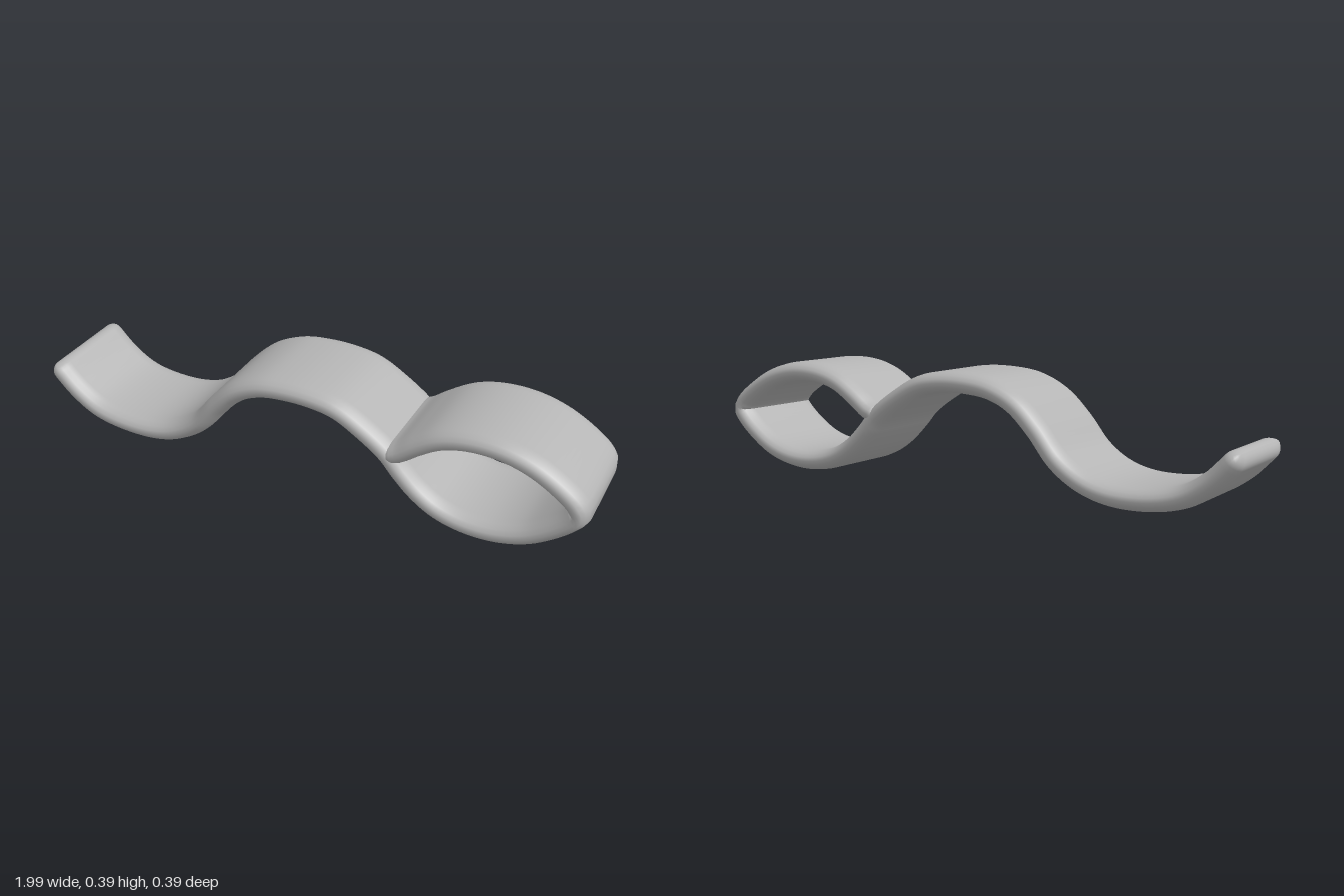
import * as THREE from 'three';

const HALF_THICK = 0.036, HALF_WIDTH = 0.195, EDGE = 0.06, CAP = 0.036;

// Cross-section of the band: flat faces with elliptical rounded edges, as [n, z]
function bandSection() {
  const pts = [];
  const steps = 8;
  for (const side of [1, -1]) {
    for (let i = 0; i <= steps; i++) {
      const a = (i / steps) * Math.PI;
      pts.push([
        side * HALF_THICK * Math.cos(a),
        side * (HALF_WIDTH - EDGE + EDGE * Math.sin(a)),
      ]);
    }
  }
  return pts;
}

// Sweep the section along a path in the xy plane, with rounded ends
function sweepBand(path) {
  const length = path.getLength();
  const stations = [];
  const capSteps = 6, bodySteps = 170;
  for (let i = 0; i < capSteps; i++) {
    const a = (i / capSteps) * Math.PI / 2;
    stations.push([CAP * (1 - Math.cos(a)), Math.sin(a)]);
  }
  for (let i = 0; i <= bodySteps; i++) {
    stations.push([CAP + (length - 2 * CAP) * i / bodySteps, 1]);
  }
  for (let i = capSteps - 1; i >= 0; i--) {
    const a = (i / capSteps) * Math.PI / 2;
    stations.push([length - CAP * (1 - Math.cos(a)), Math.sin(a)]);
  }

  const section = bandSection(), n = section.length;
  const position = [], index = [];
  stations.forEach(([s, scale], i) => {
    const u = s / length;
    const p = path.getPointAt(u), t = path.getTangentAt(u);
    for (const [h, z] of section) {
      const width = 1 - 0.2 * (1 - scale);
      position.push(p.x - t.y * h * scale, p.y + t.x * h * scale, z * width);
    }
    if (i === stations.length - 1) return;
    for (let j = 0; j < n; j++) {
      const a = i * n + j, b = i * n + (j + 1) % n;
      index.push(a, b, a + n, b, b + n, a + n);
    }
  });

  const geometry = new THREE.BufferGeometry();
  geometry.setAttribute('position', new THREE.Float32BufferAttribute(position, 3));
  geometry.setIndex(index);
  geometry.computeVertexNormals();
  return geometry;
}

export function createModel() {
  const model = new THREE.Group();
  model.name = 'wavyBandWithLoop';
  const grey = new THREE.MeshStandardMaterial({ color: 0xb4b4b4 });
  grey.name = 'grey';

  // Wave from the free tip, over the hump, round the eye-shaped loop and back to the neck
  const wave = [
    [-0.99, 0.205], [-0.955, 0.165], [-0.9, 0.112], [-0.82, 0.062], [-0.72, 0.038],
    [-0.58, 0.038], [-0.48, 0.066], [-0.39, 0.125], [-0.31, 0.22], [-0.23, 0.295],
    [-0.14, 0.337], [-0.05, 0.351], [0.05, 0.351], [0.14, 0.335], [0.23, 0.287], [0.32, 0.222],
  ];
  const loop = [
    [0.37, 0.165], [0.43, 0.107], [0.5, 0.063], [0.59, 0.038], [0.7, 0.038], [0.8, 0.066],
    [0.88, 0.115], [0.94, 0.168], [0.959, 0.198], [0.945, 0.228], [0.89, 0.274], [0.8, 0.324],
    [0.7, 0.351], [0.59, 0.351], [0.5, 0.327], [0.42, 0.278], [0.36, 0.234], [0.31, 0.215],
  ];
  const path = new THREE.CatmullRomCurve3(
    [...wave, ...loop].map(([x, y]) => new THREE.Vector3(x, y, 0)), false, 'centripetal');
  path.arcLengthDivisions = 800;

  const band = new THREE.Mesh(sweepBand(path), grey);
  band.name = 'band';
  model.add(band);
  return model;
}
